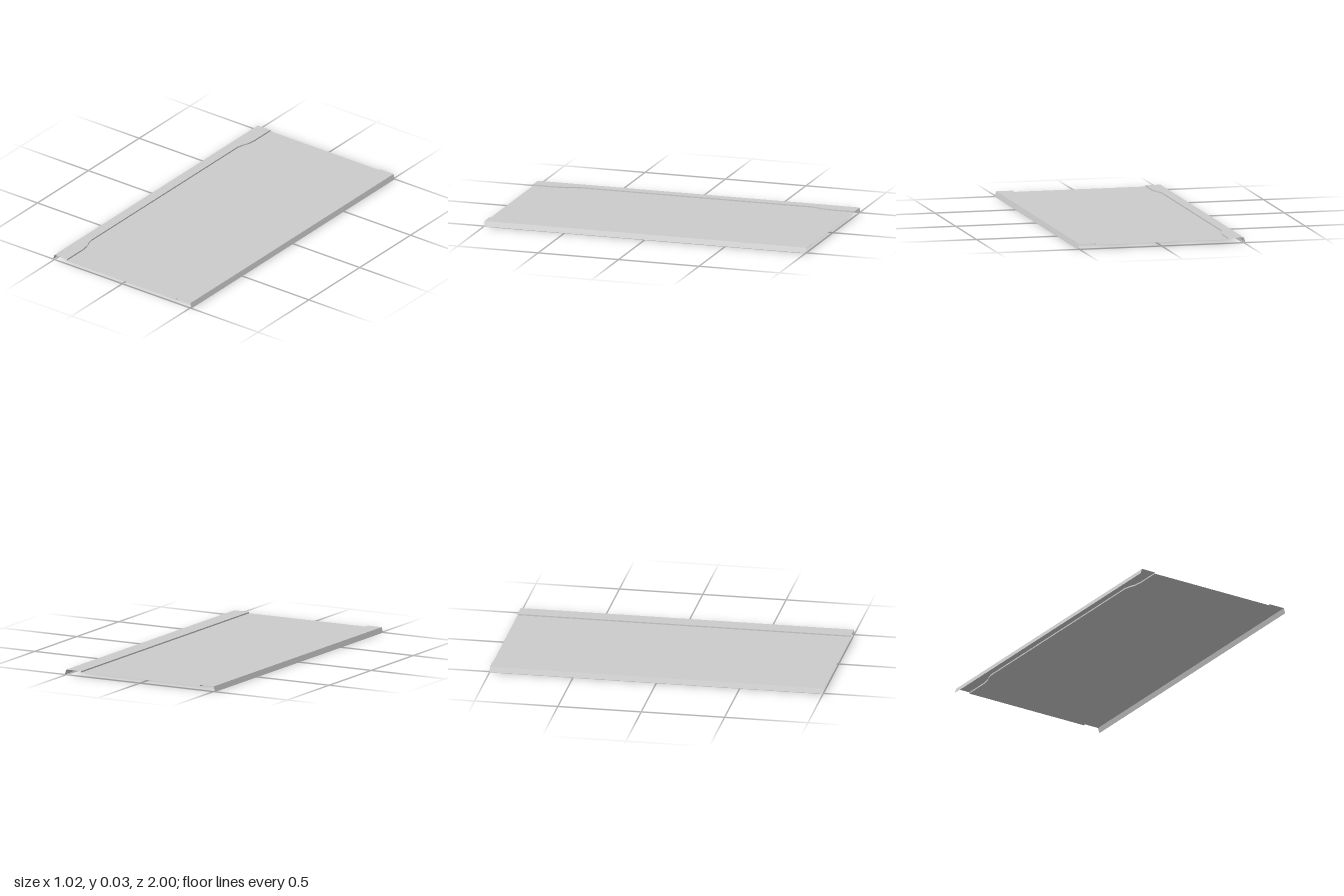
import * as THREE from 'three';

const TOP = 0.031, FLOOR = 0.023, EDGE = 0.5, LIP = 0.51, RIGHT_SEAM = -0.408, LEFT_SEAM = 0.4;

// Stations along the length: [z, x of the right seam], mirrored front to back
const half = [[1, RIGHT_SEAM], [0.84, RIGHT_SEAM], [0.79, -0.416], [0.755, -0.43], [0.72, -0.438]];
const stations = [...half.map(([z, x]) => [-z, x]), ...half.slice().reverse()];

// Strip of sheet between two edges; each edge gives [x, y] from the seam x at a station
function strip(name, edgeA, edgeB, material) {
  const positions = [], indices = [];
  stations.forEach(([z, seam], i) => {
    for (const edge of [edgeA, edgeB]) {
      const [x, y] = edge(seam);
      positions.push(x, y, z);
    }
    if (i > 0) {
      const a = 2 * i - 2;
      indices.push(a, a + 2, a + 1, a + 1, a + 2, a + 3);
    }
  });
  const geometry = new THREE.BufferGeometry();
  geometry.setAttribute('position', new THREE.Float32BufferAttribute(positions, 3));
  geometry.setIndex(indices);
  geometry.computeVertexNormals();
  const mesh = new THREE.Mesh(geometry, material);
  mesh.name = name;
  return mesh;
}

export function createModel() {
  const group = new THREE.Group();
  group.name = 'foldedSheetPanel';
  const material = new THREE.MeshStandardMaterial({ color: 0xcccccc, side: THREE.DoubleSide, flatShading: true });

  // Folds of the cross-section from right (-x) to left (+x)
  const folds = [
    () => [-LIP, 0],
    () => [-EDGE, TOP],
    (seam) => [seam, TOP],
    (seam) => [seam, FLOOR],
    () => [LEFT_SEAM, FLOOR],
    () => [LEFT_SEAM, TOP],
    () => [EDGE, TOP],
    () => [LIP, 0],
  ];
  const names = ['rightLip', 'rightFlange', 'rightStep', 'centrePanel', 'leftStep', 'leftFlange', 'leftLip'];
  names.forEach((name, i) => group.add(strip(name, folds[i], folds[i + 1], material)));
  return group;
}
